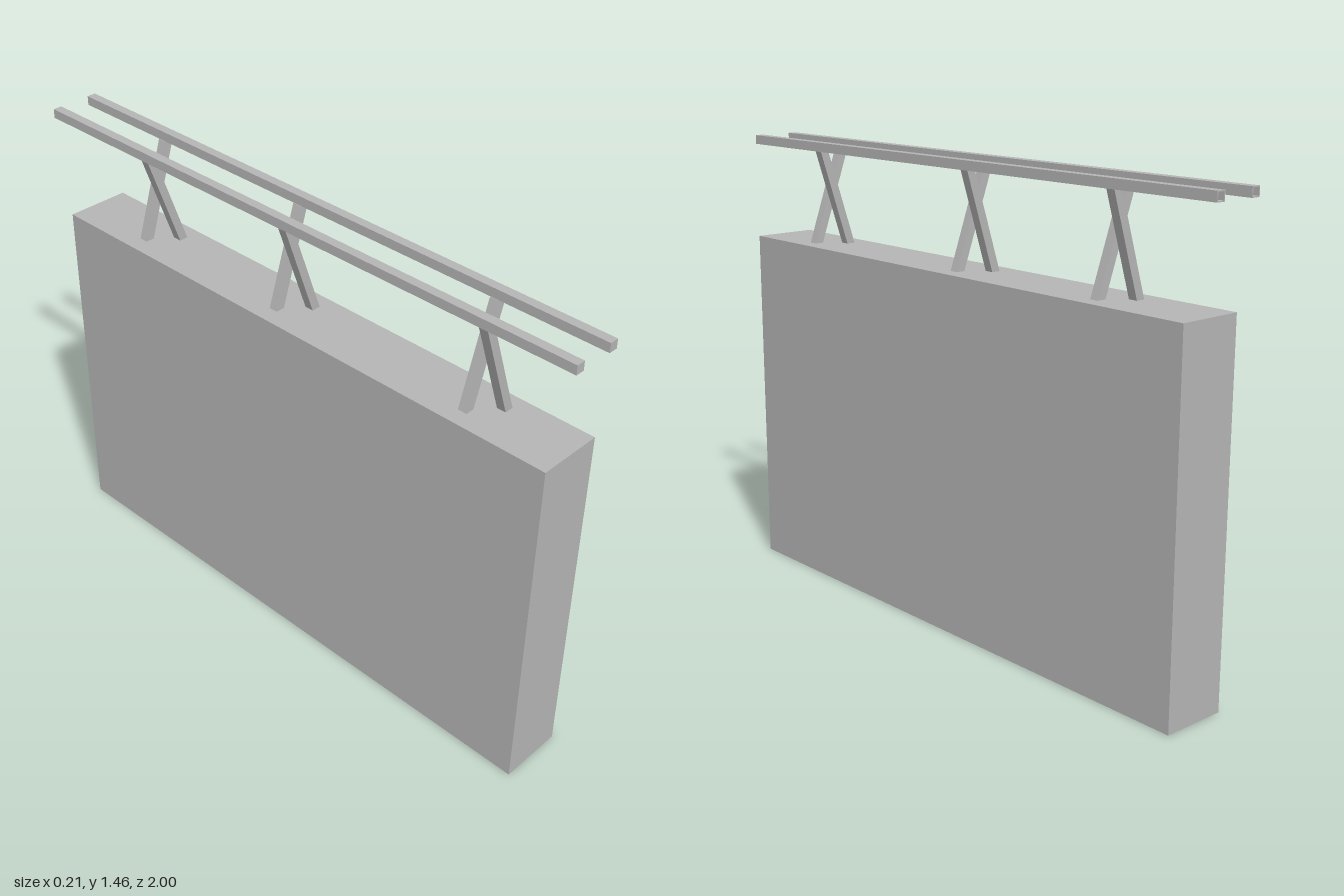
import * as THREE from 'three';

export function createModel() {
  const model = new THREE.Group();
  const grey = new THREE.MeshStandardMaterial({ color: 0xb5b5b5 });
  grey.name = 'plain grey';

  const add = (geometry, name, x, y, z) => {
    const mesh = new THREE.Mesh(geometry, grey);
    mesh.name = name;
    mesh.position.set(x, y, z);
    model.add(mesh);
  };

  // Solid wall block
  const wallTop = 1.13;
  add(new THREE.BoxGeometry(0.208, wallTop, 1.89), 'wall', 0, wallTop / 2, 0.015);

  // Square hollow rails, closed at the front and open at the back
  const square = (Kind, h) => new Kind([
    new THREE.Vector2(-h, -h), new THREE.Vector2(h, -h),
    new THREE.Vector2(h, h), new THREE.Vector2(-h, h),
  ]);
  const size = 0.029;
  const railX = [-0.07, 0.064];
  const railY = 1.45;
  const section = square(THREE.Shape, size / 2);
  section.holes.push(square(THREE.Path, size / 2 - 0.003));
  const tube = new THREE.ExtrudeGeometry(section, { depth: 1.99, bevelEnabled: false });
  const cap = new THREE.BoxGeometry(size, size, 0.01);
  railX.forEach((x, i) => {
    const side = i ? 'left' : 'right';
    add(tube, side + 'Rail', x, railY, -1);
    add(cap, side + 'RailCap', x, railY, 0.995);
  });

  // Slanted strut with level ends, made by shearing a box
  const strutHeight = railY - size / 2 - wallTop;
  const strut = (bottomX, topX) => {
    const g = new THREE.BoxGeometry(size, strutHeight, size);
    g.translate(0, strutHeight / 2, 0);
    const p = g.attributes.position;
    for (let i = 0; i < p.count; i++) {
      p.setX(i, p.getX(i) + bottomX + (topX - bottomX) * p.getY(i) / strutHeight);
    }
    g.computeVertexNormals();
    return g;
  };
  const toRight = strut(0.042, -0.067);
  const toLeft = strut(-0.036, 0.062);

  // Three crossed pairs of struts
  for (const z of [0.714, 0.003, -0.574]) {
    add(toRight, 'rightLeaningStrut', 0, wallTop, z);
    add(toLeft, 'leftLeaningStrut', 0, wallTop, z - 0.069);
  }
  return model;
}
